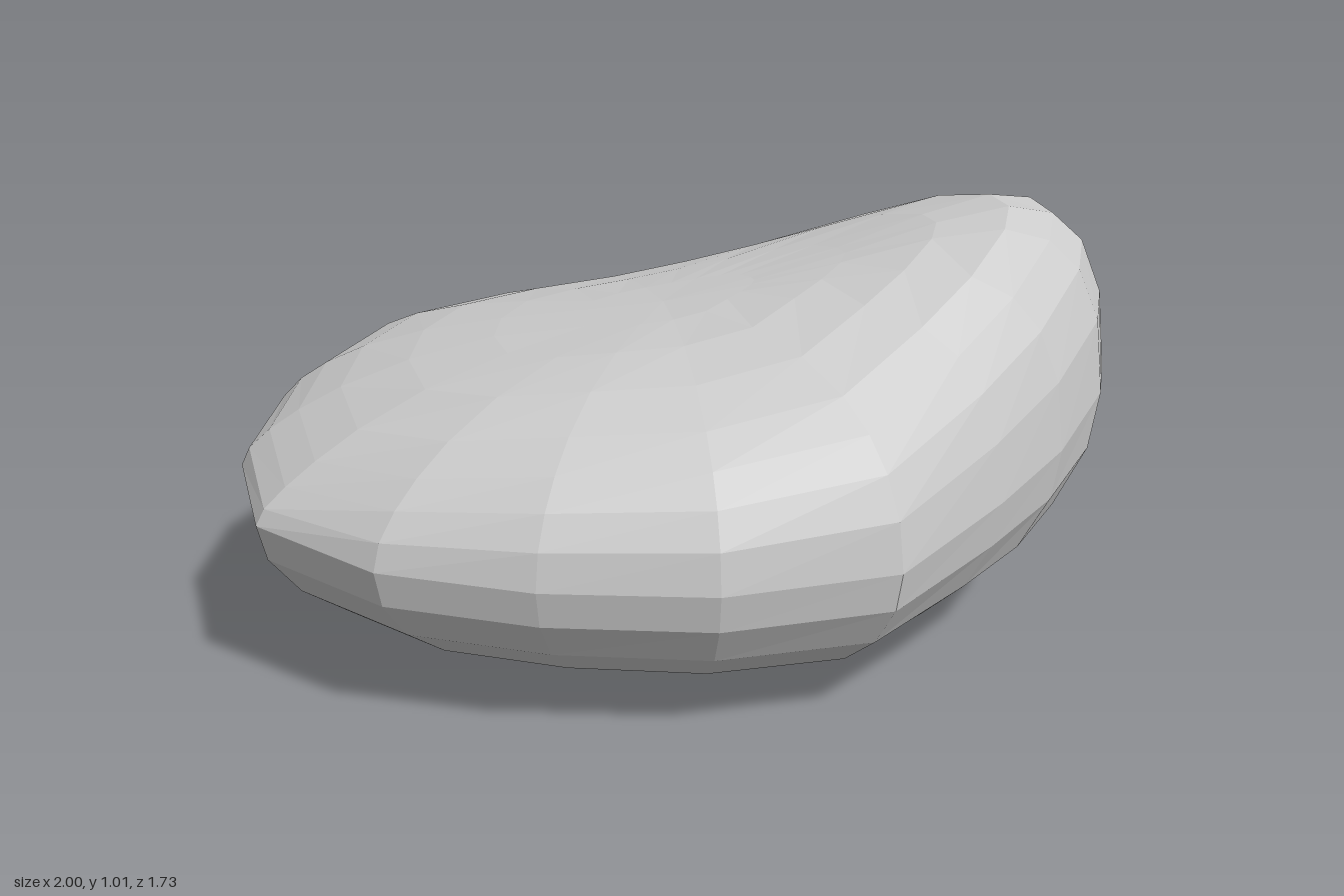
import * as THREE from 'three';

// Widest outline of the cushion: x, y, z going round from the low end
const RIM = [
  [-1, .45, -.19], [-.79, .5, -.48], [-.5, .52, -.67], [-.2, .56, -.78], [.1, .6, -.845],
  [.41, .65, -.865], [.69, .66, -.79], [.89, .64, -.63], [.98, .6, -.49], [1, .58, -.33],
  [.95, .5, -.1], [.86, .44, .13], [.72, .38, .46], [.4, .37, .69], [.04, .37, .81],
  [-.31, .38, .86], [-.66, .4, .77], [-.89, .42, .49], [-1, .43, .17],
];

// Position along the long diagonal (s, towards the high end) and across it (t)
const along = (x, z) => (x - z) / Math.SQRT2;
const across = (x, z) => (x + z) / Math.SQRT2;

// Height of the seat: rises along the diagonal and leans a little across it
function seatHeight(x, z) {
  const s = along(x, z), t = across(x, z);
  return .79 + .185 * s + .06 * s * s + .15 * s ** 3 + .12 * t * (s + .4);
}

// One ring of the body: the rim shrunk by r, lifted to the seat or lowered to the base
function ring(r, upper) {
  return RIM.map(([rx, ry, rz]) => {
    const x = rx * r, z = rz * r;
    const s = along(rx, rz), t = across(rx, rz);
    // the seat is domed across the diagonal and fuller towards its two ends
    const ends = s * s / (s * s + t * t);
    const power = upper
      ? 2.4 + (s > 0 ? 1.9 + .9 * t * s : 3) * ends
      : 2.55 + .35 * (t + s);
    const curve = Math.sqrt(1 - r ** power);
    const y = upper ? ry + (seatHeight(x, z) - ry) * curve : ry * (1 - curve);
    return [x, y, z];
  });
}

export function createModel() {
  // Rings from the bottom pole, past the rim, to the top pole
  const rings = [
    ...[0, .22, .44, .64, .8, .91, .98].map((r) => ring(r, false)),
    ...[1, .98, .93, .86, .76, .6, .4, .2, 0].map((r) => ring(r, true)),
  ];
  const pos = [];
  const last = rings.length - 2;
  for (let j = 0; j <= last; j++) {
    const lo = rings[j], up = rings[j + 1];
    for (let i = 0; i < RIM.length; i++) {
      const k = (i + 1) % RIM.length;
      if (j > 0) pos.push(...lo[k], ...lo[i], ...up[i]);
      if (j < last) pos.push(...lo[k], ...up[i], ...up[k]);
    }
  }
  const geometry = new THREE.BufferGeometry();
  geometry.setAttribute('position', new THREE.Float32BufferAttribute(pos, 3));
  geometry.computeVertexNormals();

  const cushion = new THREE.Mesh(
    geometry,
    new THREE.MeshStandardMaterial({ color: 0xcccccc, flatShading: true }),
  );
  cushion.name = 'cushionBody';
  const group = new THREE.Group();
  group.name = 'beanCushion';
  group.add(cushion);
  return group;
}
